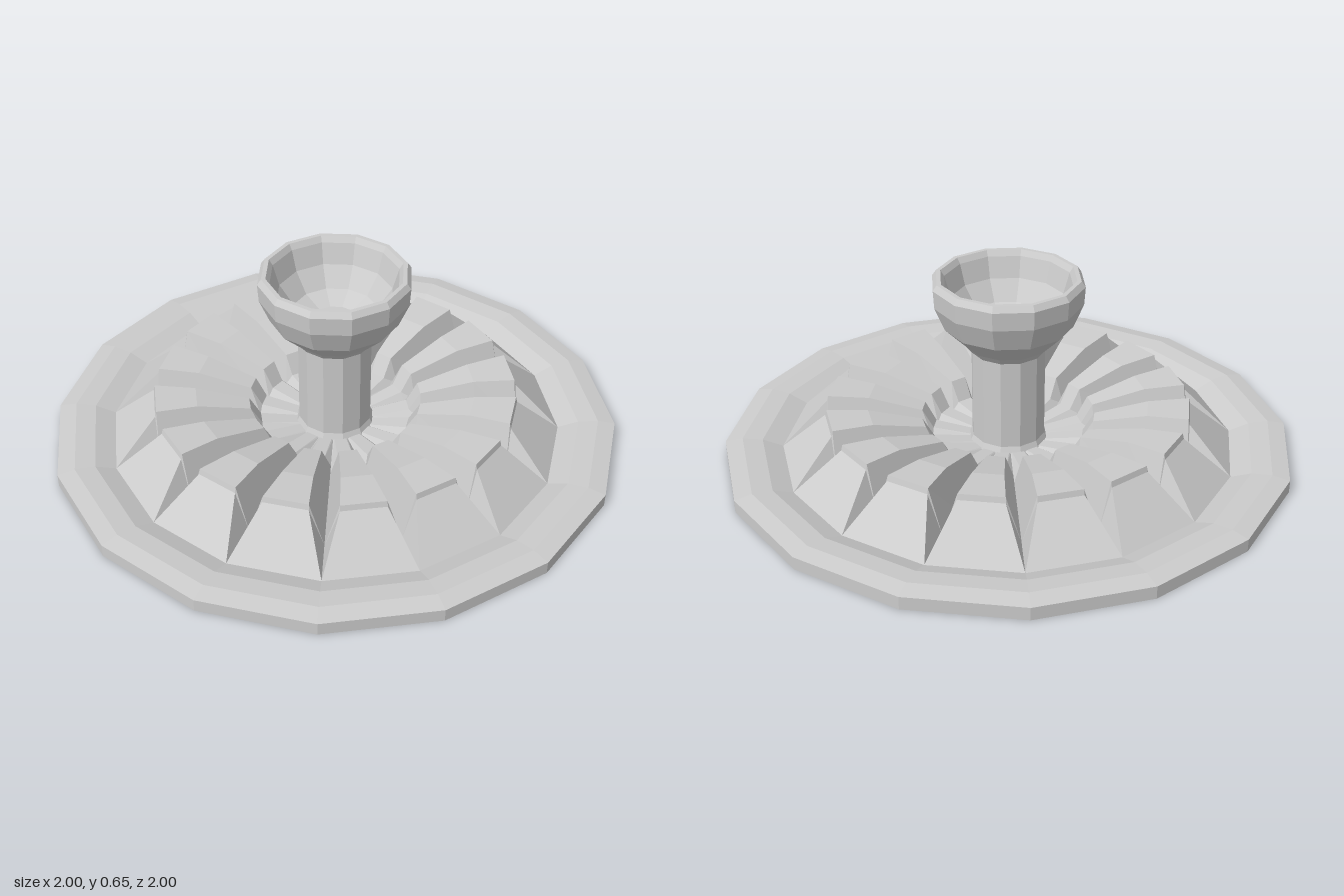
import * as THREE from 'three';

const SPOKES = 16;

function material() {
  return new THREE.MeshStandardMaterial({ color: 0xcccccc, flatShading: true, side: THREE.DoubleSide });
}

function lathe(name, profile, sides) {
  const points = profile.map(([r, y]) => new THREE.Vector2(r, y));
  const mesh = new THREE.Mesh(new THREE.LatheGeometry(points, sides), material());
  mesh.name = name;
  return mesh;
}

// Pleated basket: raised panels separated by V-shaped radial grooves
function pleatedBasket() {
  // Stations from outside in: radius, panel height, groove half width
  const stations = [
    [0.8, 0.02, 0], [0.65, 0.168, 0.05], [0.645, 0.188, 0.05], [0.5, 0.178, 0.045],
    [0.31, 0.13, 0.03], [0.27, 0.06, 0.025], [0.13, 0.04, 0.005],
  ];
  const positions = [];
  const indices = [];
  const columns = SPOKES * 3;
  for (const [r, y, half] of stations) {
    const grooveY = 0.04 - 0.025 * r;
    for (let k = 0; k < SPOKES; k++) {
      const a = (k / SPOKES) * Math.PI * 2;
      const b = ((k + 1) / SPOKES) * Math.PI * 2;
      const start = new THREE.Vector3(r * Math.cos(a), 0, r * Math.sin(a));
      const end = new THREE.Vector3(r * Math.cos(b), 0, r * Math.sin(b));
      const t = half / start.distanceTo(end);
      const left = start.clone().lerp(end, t);
      const right = end.clone().lerp(start, t);
      positions.push(start.x, grooveY, start.z, left.x, y, left.z, right.x, y, right.z);
    }
  }
  for (let i = 0; i < stations.length - 1; i++) {
    for (let j = 0; j < columns; j++) {
      const next = (j + 1) % columns;
      const a = i * columns + j;
      const b = i * columns + next;
      const c = a + columns;
      const d = b + columns;
      indices.push(a, c, b, b, c, d);
    }
  }
  const geometry = new THREE.BufferGeometry();
  geometry.setAttribute('position', new THREE.Float32BufferAttribute(positions, 3));
  geometry.setIndex(indices);
  geometry.computeVertexNormals();
  const mesh = new THREE.Mesh(geometry, material());
  mesh.name = 'pleatedBasket';
  return mesh;
}

export function createModel() {
  const model = new THREE.Group();
  model.name = 'sinkStrainer';

  // Flat outer flange with a sloped inner lip
  model.add(lathe('rim', [
    [0.8, 0.015], [0.87, 0], [1, 0], [1, 0.045], [0.94, 0.055], [0.87, 0.048], [0.8, 0.02],
  ], SPOKES));

  model.add(pleatedBasket());

  // Hollow stem, open underneath
  model.add(lathe('stem', [[0.145, 0.025], [0.13, 0.06], [0.13, 0.385]], 12));

  // Cup-shaped knob with a hollow bowl
  model.add(lathe('knob', [
    [0.13, 0.385], [0.15, 0.41], [0.225, 0.485], [0.26, 0.57], [0.264, 0.635], [0.25, 0.655],
    [0.235, 0.655], [0.222, 0.635], [0.2, 0.56], [0.15, 0.49], [0.08, 0.46], [0, 0.46],
  ], 12));

  return model;
}
